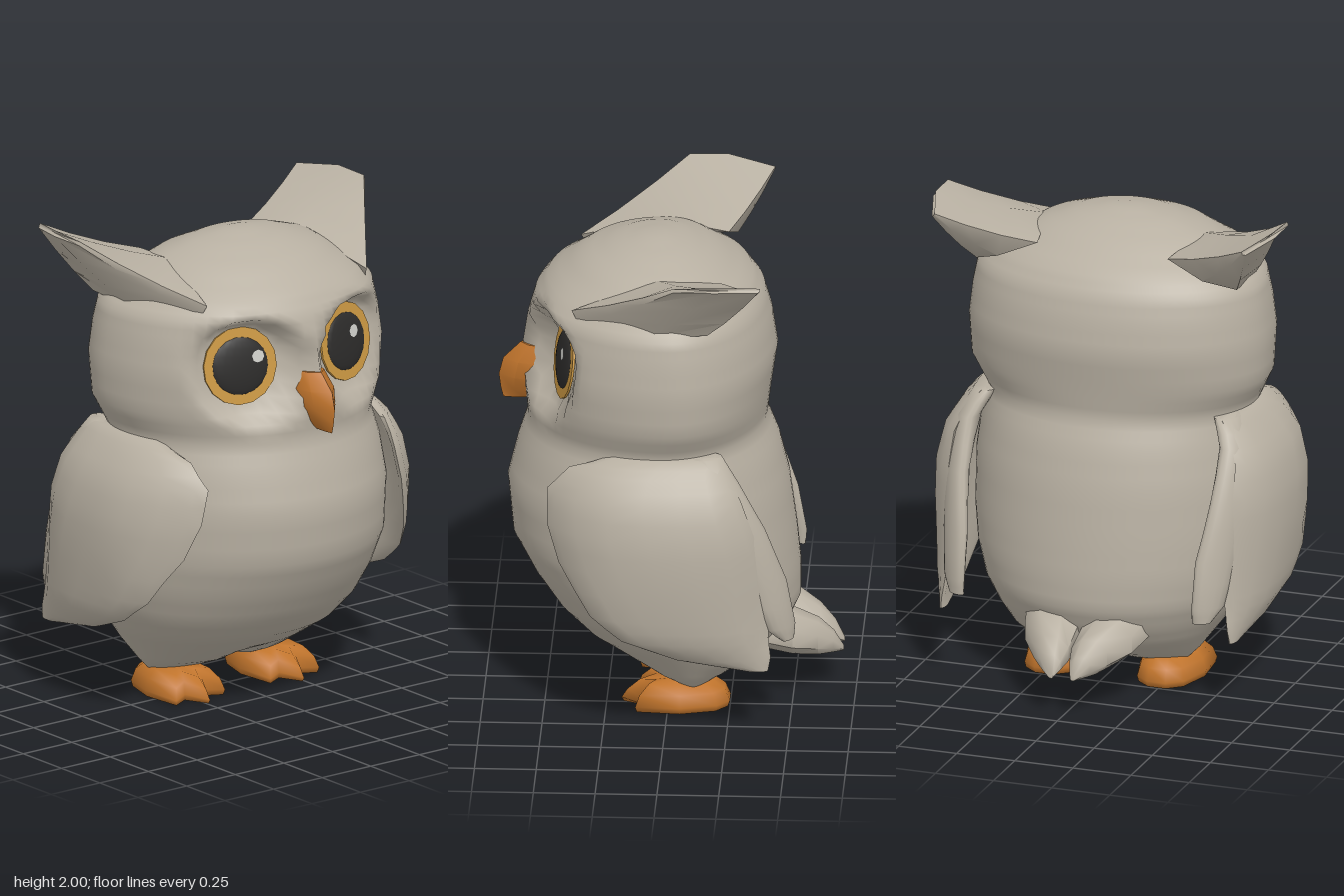
import * as THREE from 'three';
import { toCreasedNormals } from 'three/addons/utils/BufferGeometryUtils.js';

const mat = (name, color) => {
  const m = new THREE.MeshStandardMaterial({ color });
  m.name = name;
  return m;
};
const { lerp, smoothstep } = THREE.MathUtils;

// Closed skin through rings of [x, y, z] points, capped at both ends, turned outward.
function loft(rings, crease = 0.9) {
  const n = rings[0].length, pos = rings.flat(2), idx = [];
  rings.slice(1).forEach((_, r) => {
    for (let i = 0; i < n; i++) {
      const a = r * n + i, b = r * n + (i + 1) % n;
      idx.push(a, b, b + n, a, b + n, a + n);
    }
  });
  [0, rings.length - 1].forEach((r) => {
    const c = [0, 1, 2].map((k) => rings[r].reduce((t, p) => t + p[k], 0) / n);
    const ci = pos.length / 3;
    pos.push(...c);
    for (let i = 0; i < n; i++) {
      const a = r * n + i, b = r * n + (i + 1) % n;
      idx.push(...(r ? [a, b, ci] : [b, a, ci]));
    }
  });
  const v = (i) => new THREE.Vector3().fromArray(pos, i * 3);
  let volume = 0;
  for (let i = 0; i < idx.length; i += 3) volume += v(idx[i]).dot(v(idx[i + 1]).cross(v(idx[i + 2])));
  if (volume < 0) idx.reverse();
  const g = new THREE.BufferGeometry();
  g.setAttribute('position', new THREE.Float32BufferAttribute(pos, 3));
  g.setIndex(idx);
  return toCreasedNormals(g, crease);
}

// Inserts evenly spaced rows between the given ones.
function subdivide(rows, k) {
  const out = [];
  for (let i = 0; i < rows.length - 1; i++)
    for (let j = 0; j < k; j++) out.push(rows[i].map((a, c) => lerp(a, rows[i + 1][c], j / k)));
  return [...out, rows[rows.length - 1]];
}

const EYE = { x: 0.42, y: 1.495, z: 0.27 };
const EYE_NORMAL = new THREE.Vector3(0.95, 0.13, 0.25).normalize();

// Body and head: rows of y, back x, front x, half width, x of widest point.
function bodyGeometry() {
  const rows = subdivide([
    [0.10, -0.20, 0.00, 0.33, -0.10], [0.14, -0.29, 0.10, 0.37, -0.08],
    [0.22, -0.42, 0.24, 0.43, -0.06], [0.30, -0.48, 0.37, 0.49, -0.03],
    [0.40, -0.525, 0.47, 0.55, 0], [0.53, -0.525, 0.56, 0.59, 0.02],
    [0.68, -0.51, 0.64, 0.61, 0.04], [0.90, -0.48, 0.66, 0.61, 0.05],
    [1.06, -0.44, 0.62, 0.59, 0.05], [1.18, -0.39, 0.58, 0.565, 0.03],
    [1.30, -0.405, 0.59, 0.625, 0], [1.47, -0.43, 0.60, 0.635, 0],
    [1.60, -0.41, 0.58, 0.62, 0], [1.70, -0.38, 0.55, 0.60, 0],
    [1.77, -0.33, 0.50, 0.53, 0], [1.87, -0.19, 0.36, 0.36, 0.03],
    [1.92, -0.08, 0.23, 0.21, 0.05], [1.945, 0.02, 0.11, 0.06, 0.06],
  ], 3);
  const n = 72;
  return loft(rows.map(([y, xb, xf, w, xm]) => Array.from({ length: n }, (_, i) => {
    const a = i / n * Math.PI * 2, c = Math.cos(a), z = w * Math.sin(a);
    let x = c > 0 ? xm + (xf - xm) * c : xm + (xm - xb) * c;
    if (c > 0) {
      // flattened eye sockets under jutting brows
      const dy = y - EYE.y, dz = Math.abs(z) - EYE.z;
      x += 0.02 * Math.exp(-(((y - 1.71) / 0.06) ** 2) - ((dz - 0.06) / 0.13) ** 2);
      const plane = EYE.x - 0.012 - (EYE_NORMAL.y * dy + EYE_NORMAL.z * dz) / EYE_NORMAL.x;
      x = lerp(plane, x, smoothstep(Math.hypot(dy > 0 ? dy * 1.15 : dy, dz), 0.17, 0.26));
    }
    // notch between the thighs
    const notch = 0.05 * (1 - smoothstep(Math.abs(z), 0, 0.13)) * (1 - smoothstep(y, 0.1, 0.22));
    return [x, y + notch, z];
  })), Math.PI);
}

// Wing feather: rows of y, back x, front x, outermost z, curl round the body, half thickness.
function featherGeometry(rows, s) {
  const n = 16;
  return loft(subdivide(rows, 2).map(([y, xb, xf, zo, curl, thick]) => Array.from({ length: n }, (_, i) => {
    const a = i / n * Math.PI * 2;
    const x = (xb + xf) / 2 + (xf - xb) / 2 * Math.cos(a);
    const bend = curl * Math.max(0, Math.abs(x) - 0.13) ** 2;
    return [x, y, s * (zo - thick - bend + thick * Math.sin(a))];
  })), 1.1);
}
const WING = [
  [0.295, -0.42, -0.33, 0.645, 0.1, 0.015], [0.35, -0.43, -0.04, 0.68, 0.4, 0.03],
  [0.43, -0.42, 0.17, 0.715, 0.8, 0.045], [0.53, -0.42, 0.30, 0.73, 1.1, 0.05],
  [0.73, -0.40, 0.43, 0.745, 1.4, 0.055], [0.88, -0.36, 0.48, 0.74, 1.4, 0.055],
  [1.02, -0.31, 0.48, 0.705, 1.4, 0.055], [1.12, -0.26, 0.39, 0.64, 1.3, 0.055],
  [1.18, -0.23, 0.22, 0.58, 1.2, 0.05],
];
const REAR_FEATHER = [
  [0.40, -0.52, -0.47, 0.69, 1, 0.03], [0.46, -0.525, -0.41, 0.70, 1, 0.04],
  [0.65, -0.49, -0.33, 0.69, 1, 0.05], [0.88, -0.405, -0.22, 0.67, 1, 0.05],
  [1.08, -0.30, -0.12, 0.63, 1, 0.05], [1.18, -0.23, -0.10, 0.57, 1, 0.05],
];

// Ear tuft: broad root on the head, thin slanted outer edge.
function earGeometry(s) {
  const root = [[-0.22, 1.84, 0.28], [0.05, 1.87, 0.33], [0.385, 1.765, 0.41],
    [0.36, 1.72, 0.42], [0.08, 1.70, 0.54], [-0.17, 1.725, 0.56], [-0.25, 1.775, 0.44]];
  const tip = [[-0.39, 1.975, 0.66], [-0.2, 2, 0.725], [-0.04, 1.995, 0.73],
    [-0.04, 1.98, 0.735], [-0.2, 1.98, 0.735], [-0.38, 1.96, 0.675], [-0.39, 1.965, 0.665]];
  return loft([0, 0.35, 0.7, 1].map((t) => root.map((p, i) => {
    const q = p.map((a, k) => lerp(a, tip[i][k], t));
    return [q[0], q[1] - 0.05 * t * (1 - t), s * q[2]];
  })), 1);
}

// Tail feather: rows of x, low y, high y, inner z, outer z.
function tailGeometry(s) {
  const rows = [[-0.36, 0.22, 0.42, 0, 0.28], [-0.50, 0.18, 0.365, 0, 0.24],
    [-0.60, 0.16, 0.31, 0, 0.165], [-0.66, 0.16, 0.25, 0.015, 0.11], [-0.70, 0.16, 0.18, 0.035, 0.06]];
  return loft(rows.map(([x, y0, y1, z0, z1]) => Array.from({ length: 8 }, (_, i) => {
    const a = (i + 0.5) / 8 * Math.PI * 2;
    return [x, (y0 + y1) / 2 + (y1 - y0) / 2 * Math.sin(a), s * ((z0 + z1) / 2 + (z1 - z0) / 2 * Math.cos(a))];
  })));
}

// Foot: three pointed toes sloping down to the tips, and a rounded heel.
function footGeometry(s) {
  const half = [[0.19, 0], [0.09, 0.05], [0.13, 0.125], [-0.05, 0.142], [-0.2, 0.1], [-0.25, 0.04]];
  const outline = [...half, ...half.slice(1).reverse().map(([x, z]) => [x, -z])];
  return loft([[0, 0.96], [0.025, 1], [0.075, 0.9], [0.11, 0.68]].map(([y, k]) =>
    outline.map(([x, z]) => [-0.04 + (x + 0.04) * k, y * (1 - 0.35 * smoothstep(x * k, 0.08, 0.2)), s * 0.242 + z * k])), Math.PI);
}

// Beak: rows of y, root x, ridge x, half width.
function beakGeometry() {
  const rows = [[1.46, 0.53, 0.61, 0.052], [1.39, 0.54, 0.68, 0.075], [1.32, 0.55, 0.698, 0.068],
    [1.26, 0.565, 0.69, 0.04], [1.22, 0.59, 0.68, 0.008]];
  return loft(rows.map(([y, x0, x1, w]) => {
    const xm = lerp(x0, x1, 0.55);
    return [[x0, y, w], [xm, y, w * 0.8], [x1, y, 0], [xm, y, -w * 0.8], [x0, y, -w]];
  }), 0.7);
}

export function createModel() {
  const plumage = mat('plumage', 0xb8b0a2), horn = mat('beakAndFeet', 0xc0742c);
  const iris = mat('iris', 0xcb9843), pupil = mat('pupil', 0x2c2b2a), glint = mat('glint', 0xcfcfca);
  const owl = new THREE.Group();
  owl.name = 'owl';
  const add = (name, geometry, material, parent = owl) => {
    const m = new THREE.Mesh(geometry, material);
    m.name = name;
    parent.add(m);
    return m;
  };

  add('bodyAndHead', bodyGeometry(), plumage);
  add('beak', beakGeometry(), horn);

  // Paired parts; the bird looks along +x, so pairs mirror across z.
  for (const s of [1, -1]) {
    const side = s > 0 ? 'PlusZ' : 'MinusZ';
    add('wing' + side, featherGeometry(WING, s), plumage);
    add('rearFeather' + side, featherGeometry(REAR_FEATHER, s), plumage);
    add('earTuft' + side, earGeometry(s), plumage);
    add('tailFeather' + side, tailGeometry(s), plumage);
    add('foot' + side, footGeometry(s), horn);

    // Eye: flat iris, shallow pupil dome and a glint on the same side of both eyes
    const eye = new THREE.Group();
    eye.name = 'eye' + side;
    eye.position.set(EYE.x, EYE.y, s * EYE.z);
    const n = EYE_NORMAL.clone();
    n.z *= s;
    eye.quaternion.setFromUnitVectors(new THREE.Vector3(0, 0, 1), n);
    owl.add(eye);
    const disc = add('iris', new THREE.CylinderGeometry(0.161, 0.161, 0.009, 16), iris, eye);
    disc.rotation.x = Math.PI / 2;
    const dome = add('pupil', new THREE.SphereGeometry(0.121, 20, 10), pupil, eye);
    dome.scale.set(1.04, 1, 0.18);
    const spot = add('glint', new THREE.CircleGeometry(0.028, 8), glint, eye);
    spot.position.set(s > 0 ? 0.07 : 0.03, 0.042, 0.023);
  }
  return owl;
}
